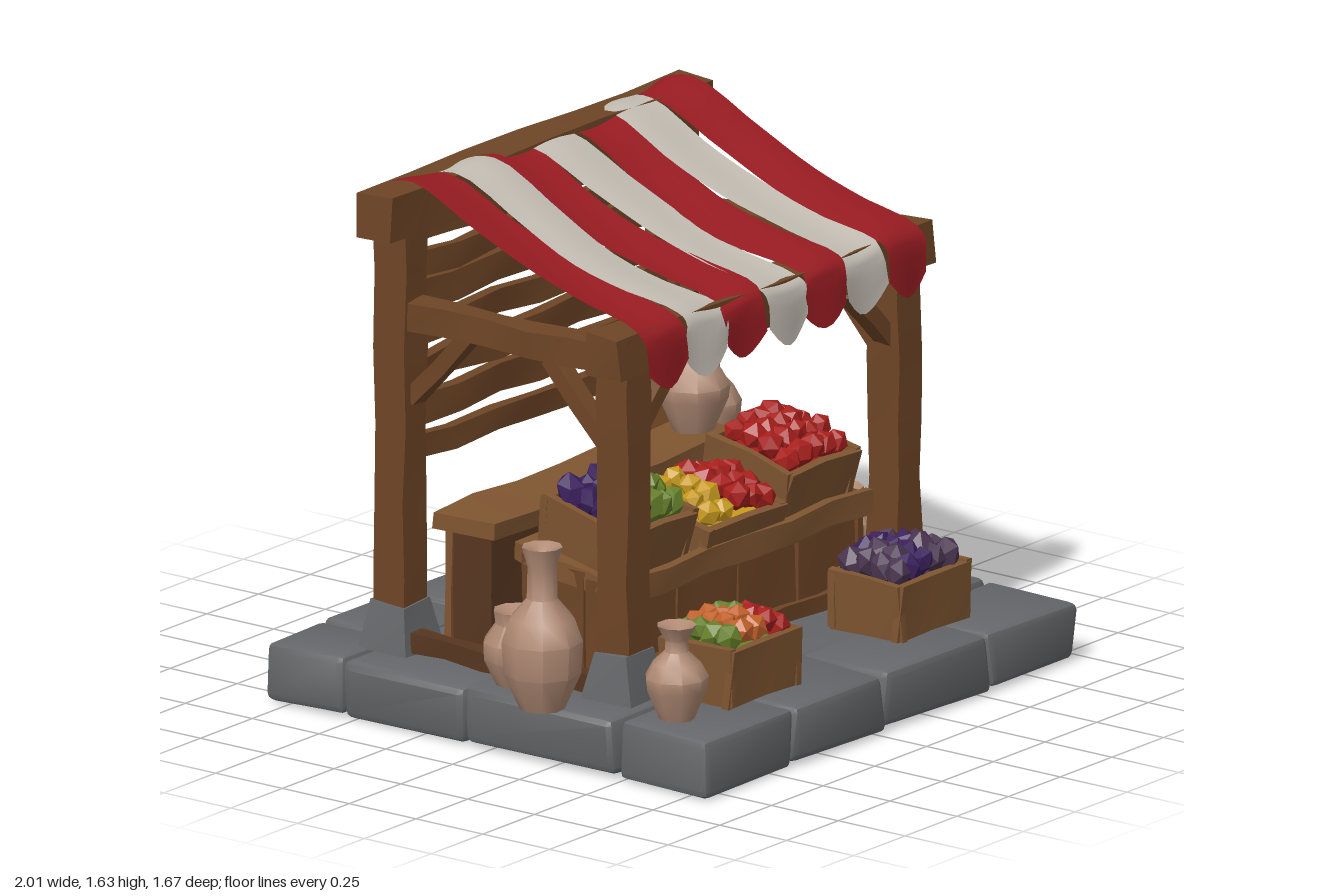
import * as THREE from 'three';
import { toCreasedNormals } from 'three/addons/utils/BufferGeometryUtils.js';
import { RoundedBoxGeometry } from 'three/addons/geometries/RoundedBoxGeometry.js';
import { ParametricGeometry } from 'three/addons/geometries/ParametricGeometry.js';

const C = {
  wood: 0x6e4526, light: 0x7f5531, dark: 0x573620, stone: 0x66676a, red: 0x981c22, white: 0xc4beb4,
  clay: 0xb08a74, terracotta: 0x8c553c, brown: 0x5e2f22,
  purple: 0x3a1f5c, green: 0x66802a, yellow: 0xc79a1e, tomato: 0xa81f1c, orange: 0xc0602a, violet: 0x4a3450,
};
const mats = {};
const mat = (color) => (mats[color] ??= new THREE.MeshStandardMaterial({ color }));
const clothMat = (color) => new THREE.MeshStandardMaterial({ color, side: THREE.DoubleSide });

let seed = 7;
const rnd = () => (seed = (seed * 16807) % 2147483647) / 2147483647;

// Hand-hewn wobble that depends only on position, so seams stay closed
function wobble(geo, amount) {
  const p = geo.attributes.position, k = rnd() * 40;
  for (let i = 0; i < p.count; i++) {
    const [x, y, z] = [p.getX(i), p.getY(i), p.getZ(i)];
    p.setXYZ(i,
      x + amount * Math.sin(23 * y + 17 * z + 9 * x + k),
      y + amount * Math.sin(19 * x + 13 * z + 7 * y + k * 2),
      z + amount * Math.sin(21 * x + 15 * y + 8 * z + k * 3));
  }
  return toCreasedNormals(geo, 0.6);
}

function add(parent, name, geo, color, pos = [0, 0, 0], rot = [0, 0, 0]) {
  const m = new THREE.Mesh(geo, mat(color));
  m.name = name;
  m.position.set(...pos);
  m.rotation.set(...rot);
  parent.add(m);
  return m;
}

// Uneven timber, divided along its length
function timber(parent, name, size, pos, color = C.wood, rot, amount = 0.006) {
  const seg = size.map((s) => Math.max(1, Math.min(6, Math.round(s / 0.16))));
  return add(parent, name, wobble(new THREE.BoxGeometry(...size, ...seg), amount), color, pos, rot);
}

// Chamfered stone block given by its x, y and z ranges
function stone(parent, name, x0, x1, y0, y1, z0, z1) {
  const geo = new RoundedBoxGeometry(x1 - x0, y1 - y0, z1 - z0, 1, 0.025);
  add(parent, name, wobble(geo, 0.006), C.stone, [(x0 + x1) / 2, (y0 + y1) / 2, (z0 + z1) / 2]);
}

// Turned vessel: profile as [radius, height] pairs
function pot(parent, name, profile, color, x, y, z, tilt = 0) {
  const pts = profile.map(([r, h]) => new THREE.Vector2(r, h));
  const geo = toCreasedNormals(new THREE.LatheGeometry(pts, 9), 0.75);
  const m = add(parent, name, geo, color, [x, y, z], [0, x * 5, tilt]);
  m.material = clothMat(color);
}
const scaled = (profile, r, h) => profile.map(([a, b]) => [a * r, b * h]);
const JUG = [[0, 0], [0.55, 0], [0.95, 0.32], [1, 0.45], [0.75, 0.6], [0.38, 0.72], [0.36, 0.84], [0.62, 1], [0.4, 0.97], [0, 0.9]];
const ROUND = [[0, 0], [0.6, 0], [0.98, 0.35], [1, 0.58], [0.62, 0.82], [0.68, 1], [0.5, 0.96], [0, 0.85]];
const URN = [[0, 0], [0.6, 0], [0.92, 0.4], [1, 0.72], [0.66, 0.88], [0.78, 1], [0.6, 0.97], [0, 0.8]];
const SQUAT = [[0, 0], [0.6, 0], [1, 0.42], [0.95, 0.65], [0.6, 0.95], [0, 1]];
const BOTTLE = [[0, 0], [0.55, 0], [0.95, 0.22], [1, 0.42], [0.8, 0.56], [0.38, 0.68], [0.36, 0.88], [0.5, 1], [0.3, 0.98], [0, 0.9]];

// Open crate with a heap of produce; colours run from left to right
function crate(parent, name, [w, h, d], pos, tilt, colors, long = 1) {
  const g = new THREE.Group();
  g.name = name;
  g.position.set(...pos);
  g.rotation.x = tilt;
  parent.add(g);
  const t = 0.025;
  timber(g, 'crateBottom', [w - t, t, d - t], [0, t / 2, 0], C.dark, undefined, 0.002);
  for (const s of [-1, 1]) {
    timber(g, 'crateLongSide', [w, h, t], [0, h / 2, s * (d - t) / 2], C.light, [s * 0.06, 0, 0], 0.005);
    timber(g, 'crateEnd', [t, h * 1.04, d], [s * (w - t) / 2, h / 2, 0], C.light, [0, 0, -s * 0.06], 0.005);
  }
  timber(g, 'produceBed', [w - 2 * t, h * 0.7, d - 2 * t], [0, h * 0.42, 0], colors[0], undefined, 0.003);
  const nx = 5, nz = 4;
  for (let i = 0; i < nx; i++) for (let j = 0; j < nz; j++) {
    const u = (i + 0.5) / nx - 0.5, v = (j + 0.5) / nz - 0.5;
    const r = 0.042 + 0.012 * rnd();
    const geo = new THREE.IcosahedronGeometry(r, 0);
    geo.scale(0.85, 0.9 * long, 0.9);
    const pick = Math.min(colors.length - 1, Math.floor((u + 0.5 + (rnd() - 0.5) * 0.25) * colors.length));
    add(g, 'produce', geo, colors[Math.max(0, pick)],
      [u * (w - 0.05), h + 0.035 * (1 - 3 * (u * u + v * v)) + 0.025 * rnd(), v * (d - 0.05)],
      [rnd() - 0.5, rnd() * 3, rnd() - 0.5]);
  }
}

export function createModel() {
  const root = new THREE.Group();
  root.name = 'marketStall';

  // Stone platform
  const base = new THREE.Group();
  base.name = 'stonePlatform';
  root.add(base);
  const row = (name, xs, z0, z1) => xs.slice(1).forEach((x, i) => stone(base, name, xs[i], x, 0, 0.18, z0, z1));
  row('frontStone', [-0.84, -0.41, 0.03, 0.54, 0.96], 0.495, 0.825);
  row('backStone', [-0.84, -0.56, -0.2, 0.2, 0.56, 0.95], -0.83, -0.53);
  for (const [z0, z1] of [[-0.54, -0.08], [-0.08, 0.475]]) {
    stone(base, 'leftStone', 0.56, 0.96, 0, 0.18, z0, z1);
    stone(base, 'rightStone', -0.84, -0.48, 0, 0.18, z0, z1);
  }
  stone(base, 'floorSlab', -0.52, 0.6, 0.005, 0.165, -0.56, 0.475);
  add(base, 'underside', new THREE.PlaneGeometry(1.7, 1.58), C.stone, [0.06, 0.012, 0], [Math.PI / 2, 0, 0]);

  // Timber frame
  const frame = new THREE.Group();
  frame.name = 'frame';
  root.add(frame);
  const FZ = 0.35, BZ = -0.485;
  for (const x of [-0.625, 0.685]) {
    const inward = x < 0 ? 1 : -1;
    for (const [z, top] of [[FZ, 1.3], [BZ, 1.58]]) {
      timber(frame, 'post', [0.11, top - 0.17, 0.115], [x, (top + 0.17) / 2, z], C.wood, undefined, 0.005);
      const foot = new THREE.CylinderGeometry(0.09, 0.125, 0.15, 4, 1).rotateY(Math.PI / 4);
      add(frame, 'stoneFoot', wobble(foot.toNonIndexed(), 0.006), C.stone, [x, 0.25, z]);
    }
    timber(frame, 'sideBeam', [0.085, 0.085, 0.76], [x, 1.22, -0.06]);
    timber(frame, 'sideSill', [0.06, 0.06, 0.76], [x - 0.02, 0.21, -0.06], C.dark);
    // Diagonal braces
    timber(frame, 'frontSideBrace', [0.06, 0.32, 0.05], [x, 1.065, 0.19], C.wood, [-0.74, 0, 0], 0.003);
    timber(frame, 'backSideBrace', [0.06, 0.32, 0.05], [x, 1.075, -0.325], C.wood, [0.76, 0, 0], 0.003);
    timber(frame, 'frontBrace', [0.05, 0.31, 0.06], [x + inward * 0.13, 1.07, FZ], C.wood, [0, 0, -inward * 0.8], 0.003);
  }
  timber(frame, 'frontBeam', [1.53, 0.13, 0.125], [0.035, 1.25, FZ]);
  timber(frame, 'backBeam', [1.55, 0.135, 0.13], [0.025, 1.535, BZ]);

  // Back wall of warped planks
  [[0.77, 0.07], [0.9, 0.09], [1.015, 0.09], [1.135, 0.075], [1.245, 0.09], [1.35, 0.075], [1.44, 0.07]].forEach(([y, h], i) =>
    timber(frame, 'backPlank', [1.24, h, 0.035], [0.03, y, BZ + (i % 2) * 0.012], C.wood, [0, 0, (i % 3 - 1) * 0.012], 0.009));

  // Bench along the back, boarded with uprights
  const bench = new THREE.Group();
  bench.name = 'backBench';
  root.add(bench);
  timber(bench, 'benchBody', [1.14, 0.37, 0.15], [0.03, 0.36, -0.285], C.dark, undefined, 0.003);
  timber(bench, 'benchTop', [1.22, 0.05, 0.23], [0.03, 0.575, -0.285], C.light);
  for (let i = 0; i < 9; i++) {
    timber(bench, 'benchBoard', [0.118, 0.36, 0.025], [-0.49 + i * 0.13, 0.365, -0.365], i % 2 ? C.wood : C.light, [0, 0, (rnd() - 0.5) * 0.06]);
  }

  // Front counter with a sloping top
  const counter = new THREE.Group();
  counter.name = 'counter';
  root.add(counter);
  timber(counter, 'counterBody', [1.14, 0.3, 0.3], [0.03, 0.32, 0.1], C.dark, undefined, 0.004);
  timber(counter, 'counterTop', [1.2, 0.06, 0.41], [0.03, 0.495, 0.1], C.light, [0.2, 0, 0]);
  timber(counter, 'counterRail', [1.2, 0.075, 0.03], [0.03, 0.475, 0.3], C.light);
  timber(counter, 'counterSill', [1.18, 0.05, 0.04], [0.03, 0.205, 0.27], C.wood);
  for (let i = 0; i < 4; i++) {
    timber(counter, 'counterBoard', [0.28, 0.21, 0.025], [-0.405 + i * 0.29, 0.33, 0.255], C.wood, undefined, 0.004);
  }
  for (const x of [-0.555, 0.615]) for (let i = 0; i < 3; i++) {
    timber(counter, 'counterEndBoard', [0.025, 0.31 + i * 0.02, 0.112], [x, 0.34 + i * 0.01, 0.22 - i * 0.12], C.wood, undefined, 0.003);
  }

  // Produce crates
  crate(root, 'aubergineCrate', [0.34, 0.15, 0.32], [-0.37, 0.53, 0.11], 0.22, [C.purple, C.purple, C.green, C.green], 1.4);
  crate(root, 'fruitCrate', [0.38, 0.09, 0.3], [0.025, 0.515, 0.15], 0.22, [C.yellow, C.yellow, C.tomato, C.tomato]);
  crate(root, 'tomatoCrate', [0.34, 0.15, 0.32], [0.42, 0.53, 0.11], 0.22, [C.tomato]);
  crate(root, 'vegetableFloorCrate', [0.34, 0.175, 0.27], [-0.38, 0.185, 0.56], 0, [C.green, C.orange, C.green, C.tomato]);
  crate(root, 'aubergineFloorCrate', [0.34, 0.175, 0.27], [0.45, 0.185, 0.55], 0, [C.violet, C.purple, C.violet], 1.3);

  // Pottery
  const pots = new THREE.Group();
  pots.name = 'pottery';
  root.add(pots);
  pot(pots, 'darkPot', scaled(SQUAT, 0.14, 0.26), C.brown, 0.87, 0.18, -0.48);
  pot(pots, 'stackedJug', scaled(JUG, 0.1, 0.33), C.clay, 0.85, 0.43, -0.47, 0.05);
  pot(pots, 'terracottaUrn', scaled(URN, 0.125, 0.32), C.terracotta, 0.83, 0.18, -0.22);
  pot(pots, 'roundPot', scaled(ROUND, 0.11, 0.235), C.clay, 0.83, 0.18, 0.03);
  pot(pots, 'smallPot', scaled(ROUND, 0.066, 0.15), C.clay, 0.83, 0.175, 0.24);
  pot(pots, 'benchJug', scaled(JUG, 0.11, 0.32), C.clay, 0.54, 0.6, -0.29);
  pot(pots, 'tallBottle', scaled(BOTTLE, 0.123, 0.5), C.clay, -0.877, 0.185, 0.24);
  pot(pots, 'rightRoundPot', scaled(ROUND, 0.1, 0.23), C.clay, -0.72, 0.18, 0.02);
  pot(pots, 'frontJug', scaled(JUG, 0.097, 0.29), C.clay, -0.705, 0.18, 0.61);

  // Striped canopy: one strip per stripe, sagging between the beams, scalloped in front
  const canopy = new THREE.Group();
  canopy.name = 'canopy';
  root.add(canopy);
  const drape = [[-0.575, 1.47], [-0.57, 1.57], [-0.52, 1.605], [-0.42, 1.62], [-0.2, 1.515], [0, 1.43], [0.2, 1.375], [0.4, 1.33], [0.435, 1.29], [0.445, 1.19]];
  const curve = new THREE.CatmullRomCurve3(drape.map(([z, y]) => new THREE.Vector3(0, y, z)));
  const X0 = -0.63, W = 1.35 / 7;
  for (let i = 0; i < 7; i++) {
    const geo = new ParametricGeometry((u, v, target) => {
      curve.getPoint(v, target);
      const s = (i + u) / 7;
      const x = X0 + (i + u) * W + 0.012 * Math.sin(v * 14 + i * 2.3) * (i + u > 0.01 && i + u < 6.99 ? 1 : 0.6);
      const sag = 0.028 * Math.sin(Math.PI * s) * Math.sin(Math.PI * Math.min(1, v * 1.1));
      const hem = Math.max(0, v - 0.89) / 0.11 * 0.065 * Math.sin(Math.PI * u);
      target.set(x, target.y - sag - hem + 0.006 * Math.sin(s * 25 + v * 5), target.z + 0.006 * Math.sin(s * 30) * (v > 0.9 ? 1 : 0));
    }, 6, 28);
    add(canopy, i % 2 ? 'whiteStripe' : 'redStripe', geo, C.red).material = clothMat(i % 2 ? C.white : C.red);
  }
  return root;
}
